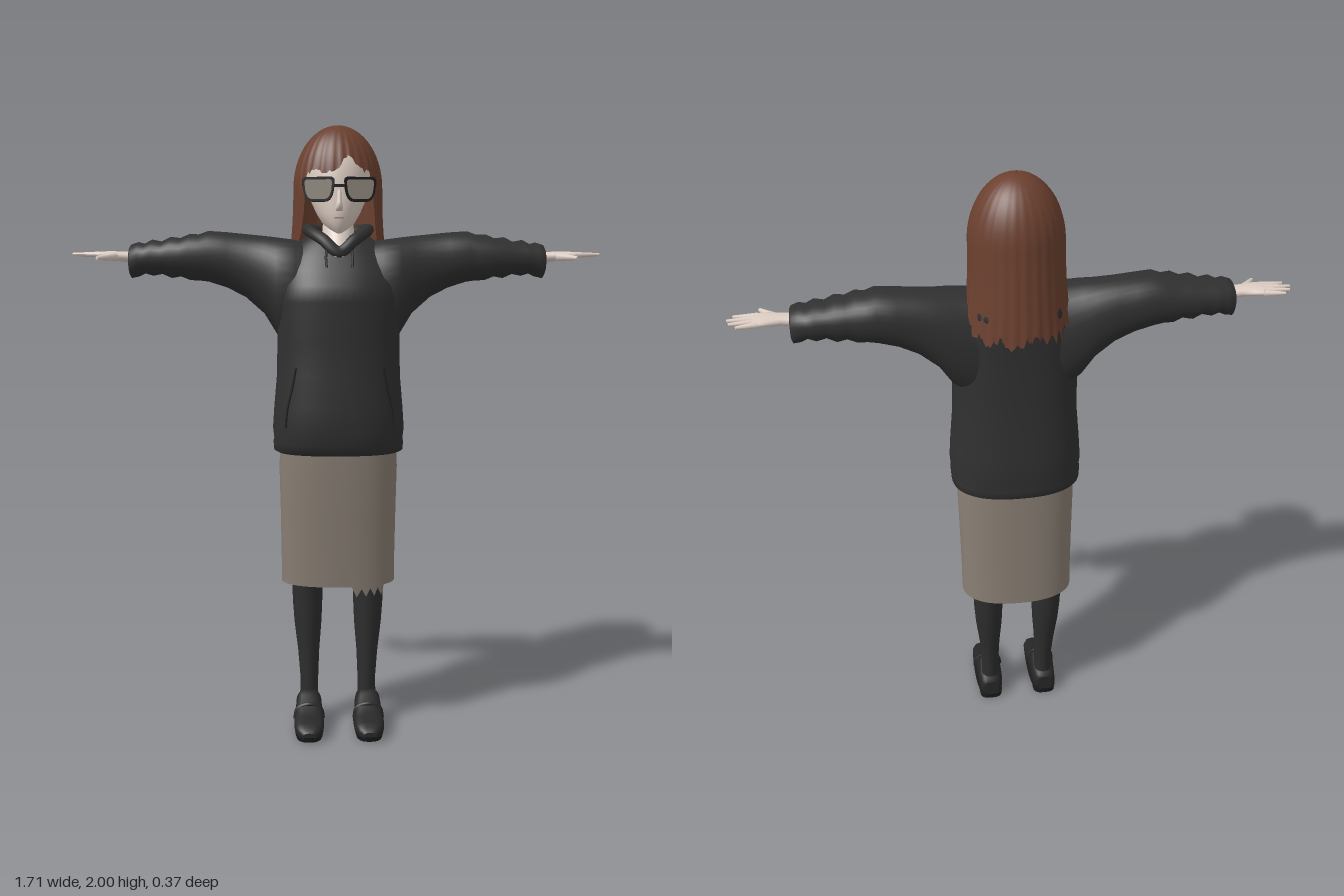
import * as THREE from 'three';

const mat = (name, color, side = THREE.FrontSide) => {
  const m = new THREE.MeshStandardMaterial({ color, side });
  m.name = name;
  return m;
};

// Superellipse ring coordinates
const bow = (v, e) => Math.sign(v) * Math.pow(Math.abs(v), 2 / e);
const ring = (n, f) => Array.from({ length: n }, (_, i) => f((i / n) * Math.PI * 2));
const ringY = ([y, rx, zf, zb, cx = 0], n = 40, e = 2) => ring(n, a => [
  cx + rx * bow(Math.sin(a), e), y, (zf + zb) / 2 + (zf - zb) / 2 * bow(Math.cos(a), e)]);
const ringX = ([x, yt, yb, zb, zf], n = 32, e = 2.2) => ring(n, a => [
  x, (yt + yb) / 2 + (yt - yb) / 2 * bow(Math.cos(a), e), (zf + zb) / 2 + (zf - zb) / 2 * bow(Math.sin(a), e)]);
const ringZ = ([z, hw, yt, yb, cx], n = 28, e = 2.8) => ring(n, a => [
  cx - hw * bow(Math.sin(a), e), (yt + yb) / 2 + (yt - yb) / 2 * bow(Math.cos(a), e), z]);

// Skin closed rings into a surface; ends may be capped
function loft(rings, caps = true) {
  const n = rings[0].length, pos = rings.flat(2), idx = [];
  for (let i = 0; i + 1 < rings.length; i++) for (let j = 0; j < n; j++) {
    const a = i * n + j, b = i * n + (j + 1) % n;
    idx.push(a, b, b + n, a, b + n, a + n);
  }
  if (caps) [rings[0], rings[rings.length - 1]].forEach((r, k) => {
    const s = pos.length / 3;
    pos.push(...r.flat(), ...[0, 1, 2].map(c => r.reduce((t, p) => t + p[c], 0) / n));
    for (let j = 0; j < n; j++) {
      const a = s + j, b = s + (j + 1) % n;
      idx.push(...(k ? [a, b, s + n] : [b, a, s + n]));
    }
  });
  const g = new THREE.BufferGeometry();
  g.setAttribute('position', new THREE.Float32BufferAttribute(pos, 3));
  g.setIndex(idx);
  g.computeVertexNormals();
  return g;
}

// Copy mirrored across x = 0 with corner order kept outward
function mirrored(geo) {
  const g = geo.clone().scale(-1, 1, 1), ix = g.index.array;
  for (let i = 0; i < ix.length; i += 3) [ix[i], ix[i + 1]] = [ix[i + 1], ix[i]];
  g.computeVertexNormals();
  return g;
}

const tube = (pts, r, closed = false, seg = 24) => new THREE.TubeGeometry(
  new THREE.CatmullRomCurve3(pts.map(p => new THREE.Vector3(...p)), closed), seg, r, 8, closed);

// Tapered finger between two points
function finger(p, q, r1, r2) {
  const a = new THREE.Vector3(...p), d = new THREE.Vector3(...q).sub(a), len = d.length();
  const g = new THREE.CylinderGeometry(r2, r1, len, 10).translate(0, len / 2, 0);
  g.applyQuaternion(new THREE.Quaternion().setFromUnitVectors(new THREE.Vector3(0, 1, 0), d.normalize()));
  return g.translate(a.x, a.y, a.z);
}

// Rounded, slightly tapered spectacle outline
function lensPath(P, w, h) {
  const p = new P(), r = h * 0.75;
  p.moveTo(-w, h - r * 0.4);
  p.quadraticCurveTo(-w, h, -w + r * 0.4, h);
  p.lineTo(w - r * 0.4, h);
  p.quadraticCurveTo(w, h, w, h - r * 0.4);
  p.quadraticCurveTo(w, -h, w - r * 1.1, -h);
  p.lineTo(-w + r * 1.1, -h);
  p.quadraticCurveTo(-w, -h, -w, h - r * 0.4);
  return p;
}

export function createModel() {
  const M = {
    skin: mat('skin', 0xdccdc2), hair: mat('hair', 0x6b402f, THREE.DoubleSide),
    hoodie: mat('hoodie', 0x303031), trim: mat('hoodieTrim', 0x222223),
    skirt: mat('skirt', 0x887e73, THREE.DoubleSide), tights: mat('tights', 0x2d2d2e),
    shoe: mat('shoe', 0x272727), frame: mat('glassesFrame', 0x1b1b1c),
    lens: mat('lens', 0x8f877d, THREE.DoubleSide), mouth: mat('mouth', 0xa87f76),
  };
  const root = new THREE.Group();
  root.name = 'woman';
  const add = (name, geo, m) => {
    const o = new THREE.Mesh(geo, m);
    o.name = name;
    root.add(o);
  };
  const pair = (name, geo, m) => {
    add('left' + name, geo, m);
    add('right' + name, mirrored(geo), m);
  };
  let seed = 7;
  const rnd = () => (seed = (seed * 16807) % 2147483647) / 2147483647;

  // Head, neck, nose and mouth
  add('head', loft([[1.655, .012, .078, .02], [1.668, .03, .09, -.02], [1.69, .052, .099, -.05],
    [1.72, .07, .103, -.08], [1.76, .088, .102, -.1], [1.8, .1, .099, -.11], [1.86, .104, .097, -.12],
    [1.92, .088, .072, -.1], [1.96, .052, .03, -.07]].map(r => ringY(r))), M.skin);
  add('neck', loft([[1.58, .05, .12, -.05], [1.62, .056, .1, -.06], [1.66, .052, .072, -.06],
    [1.73, .045, .04, -.06]].map(r => ringY(r))), M.skin);
  add('nose', loft([[1.724, .011, .108, .09], [1.733, .012, .132, .09], [1.75, .009, .122, .09],
    [1.79, .006, .106, .09]].map(r => ringY(r, 12))), M.skin);
  add('mouth', new THREE.BoxGeometry(.03, .004, .006).translate(0, 1.703, .099), M.mouth);

  // Glasses
  for (const s of [1, -1]) {
    const shape = lensPath(THREE.Shape, .05, .038);
    shape.holes.push(lensPath(THREE.Path, .043, .03));
    const place = g => g.rotateY(s * .2).translate(s * .064, 1.789, .112);
    add('glassesRim', place(new THREE.ExtrudeGeometry(shape, { depth: .01, bevelEnabled: false })), M.frame);
    add('lens', place(new THREE.ShapeGeometry(lensPath(THREE.Shape, .045, .032)).translate(0, 0, .005)), M.lens);
    add('glassesArm', new THREE.BoxGeometry(.006, .014, .11).translate(s * .113, 1.812, .055), M.frame);
  }
  add('glassesBridge', new THREE.BoxGeometry(.036, .009, .01).translate(0, 1.8, .126), M.frame);

  // Hair shell: columns fall from the crown to a jagged hem, short over the face
  const hairLayer = (scale, lift) => {
    const n = 112, steps = 22, hem = [];
    for (let j = 0; j < n; j++) {
      const a = j > n / 2 ? j / n * Math.PI * 2 - Math.PI * 2 : j / n * Math.PI * 2, b = Math.abs(a);
      const fringe = 1.838 + .045 * Math.exp(-(((a - .22) / .22) ** 2)) + rnd() * .016;
      const k = THREE.MathUtils.smoothstep(b, .8, 1.08);
      const long = 1.61 - .07 * THREE.MathUtils.smoothstep(b, 1.3, 2.3) + (rnd() - .5) * .045;
      hem.push(THREE.MathUtils.lerp(fringe, long, k) + lift);
    }
    const rings = [];
    for (let i = steps; i >= 0; i--) {
      const t = Math.max(i / steps, .01);
      rings.push(hem.map((yb, j) => {
        const a = j / n * Math.PI * 2, y = 2 - (2 - yb) * t * t;
        const dome = y > 1.8 ? Math.sqrt(Math.max(0, 1 - ((y - 1.8) / .2) ** 2)) : 1;
        const low = Math.max(0, (1.8 - y) / .27);
        const r = dome * scale * (1 + .014 * t * Math.sin(a * 28));
        const c = Math.cos(a);
        return [Math.sin(a) * r * (.143 + .02 * low * low), y,
          -.018 - .03 * low * (c > 0 ? 1.3 : .5) + c * r * (.137 + .012 * low)];
      }));
    }
    return loft(rings, false);
  };
  add('hair', hairLayer(1, 0), M.hair);
  add('hairUnderlayer', hairLayer(.955, .012), M.hair);

  // Hoodie body: height, half width, front z, back z
  const body = [[.95, .2, .15, -.132], [.957, .212, .165, -.142], [.985, .214, .175, -.144], [.992, .211, .174, -.141],
    [1.03, .215, .184, -.145], [1.1, .21, .183, -.14], [1.2, .201, .178, -.13], [1.32, .198, .173, -.122],
    [1.44, .2, .182, -.12], [1.49, .196, .174, -.12], [1.54, .188, .143, -.12], [1.58, .175, .116, -.118],
    [1.62, .14, .092, -.11], [1.65, .1, .064, -.09]];
  add('hoodieBody', loft(body.map(r => ringY(r, 56, 2.4))), M.hoodie);
  const bodyZ = (x, y) => {
    const i = Math.max(1, body.findIndex(r => r[0] >= y));
    const [p, q] = [body[i - 1], body[i]], k = (y - p[0]) / (q[0] - p[0]);
    const [rx, zf, zb] = [1, 2, 3].map(c => p[c] + (q[c] - p[c]) * k);
    return (zf + zb) / 2 + (zf - zb) / 2 * Math.pow(Math.max(0, 1 - Math.abs(x / rx) ** 2.4), 1 / 2.4);
  };
  const onBody = pts => pts.map(([x, y]) => [x, y, bodyZ(x, y) + .001]);

  // Sleeves: x, top, bottom, back z, front z, with folds towards the cuff
  const sleeve = [[.05, 1.62, 1.25, -.09, .1], [.14, 1.637, 1.28, -.1, .13], [.2, 1.645, 1.335, -.1, .112],
    [.24, 1.65, 1.4, -.1, .09], [.3, 1.656, 1.453, -.097, .075], [.36, 1.662, 1.484, -.098, .072],
    [.42, 1.666, 1.503, -.101, .074], [.45, 1.655, 1.507, -.093, .067], [.48, 1.656, 1.508, -.096, .074],
    [.51, 1.643, 1.52, -.086, .064], [.54, 1.647, 1.515, -.093, .068], [.57, 1.632, 1.528, -.08, .056],
    [.6, 1.638, 1.522, -.088, .06], [.625, 1.625, 1.53, -.078, .052], [.645, 1.63, 1.52, -.078, .054],
    [.668, 1.622, 1.515, -.072, .05], [.673, 1.612, 1.525, -.062, .04]];
  pair('Sleeve', loft(sleeve.map(r => ringX(r))), M.hoodie);

  // Hood, collar, drawstrings and pocket openings
  add('hood', new THREE.SphereGeometry(1, 32, 20).scale(.13, .07, .065).translate(0, 1.6, -.098), M.hoodie);
  add('hoodCollar', tube([[0, 1.595, .112], [.05, 1.635, .09], [.092, 1.665, .025], [.09, 1.672, -.06], [0, 1.665, -.11],
    [-.09, 1.672, -.06], [-.092, 1.665, .025], [-.05, 1.635, .09]], .019, true, 64), M.hoodie);
  pair('Drawstring', tube(onBody([[.038, 1.615], [.042, 1.58], [.04, 1.545]]), .004), M.trim);
  pair('PocketOpening', tube(onBody([[.138, 1.235], [.15, 1.17], [.166, 1.1], [.172, 1.04]]), .004), M.trim);

  // Hands
  pair('Palm', loft([[.655, 1.598, 1.563, -.032, .02], [.7, 1.6, 1.568, -.03, .022], [.735, 1.601, 1.573, -.043, .03],
    [.765, 1.6, 1.577, -.05, .03], [.782, 1.597, 1.581, -.048, .022]].map(r => ringX(r, 20))), M.skin);
  [[-.042, .828, -.058], [-.022, .85, -.034], [-.002, .857, -.01], [.016, .84, .014]].forEach(([z, x, tip]) =>
    pair('Finger', finger([.765, 1.589, z], [x, 1.591, tip], .0105, .005), M.skin));
  pair('Thumb', finger([.715, 1.583, .012], [.765, 1.578, .078], .014, .006), M.skin);

  // Skirt with a ragged slip of hem at the left front
  const skirt = [[.505, .19, .1, -.135], [.6, .19, .106, -.13], [.75, .192, .117, -.123], [.9, .195, .128, -.116],
    [.99, .19, .13, -.112]].map(r => ringY(r, 72, 2.3));
  skirt[0].forEach((p, i) => { if (p[2] > 0 && p[0] > .045 && p[0] < .15) p[1] -= i % 2 ? .035 : .008; });
  add('skirt', loft(skirt, false), M.skirt);

  // Legs: height, half width, front z, back z, centre x
  pair('Leg', loft([[.05, .032, .012, -.065, .1], [.15, .03, .012, -.064, .098], [.25, .036, .011, -.075, .1],
    [.35, .046, .014, -.09, .102], [.42, .05, .017, -.096, .103], [.5, .052, .016, -.095, .104],
    [.8, .076, .06, -.1, .1]].map(r => ringY(r, 28))), M.tights);

  // Loafers with sole, heel and strap
  pair('Shoe', loft([[-.08, .028, .08, .02], [-.072, .038, .093, .014], [-.03, .042, .098, .014], [.005, .043, .122, .014],
    [.03, .044, .112, .014], [.07, .048, .083, .014], [.11, .05, .068, .012], [.145, .047, .058, .01],
    [.17, .036, .048, .01], [.182, .02, .036, .012]].map(r => ringZ([...r, .1]))), M.shoe);
  pair('Sole', loft([[.008, .047, .182, -.08, .1], [.022, .05, .186, -.084, .1]].map(r => ringY(r, 32, 2.8))), M.frame);
  pair('Heel', loft([[0, .04, -.005, -.08, .1], [.018, .042, 0, -.082, .1]].map(r => ringY(r, 24, 3))), M.frame);
  pair('ToePad', loft([[0, .043, .17, .04, .1], [.014, .047, .178, .03, .1]].map(r => ringY(r, 24, 2.6))), M.frame);
  pair('ShoeStrap', tube([[.053, .04, .06], [.062, .075, .058], [.1, .09, .062], [.138, .075, .058], [.147, .04, .06]], .007), M.shoe);

  return root;
}
